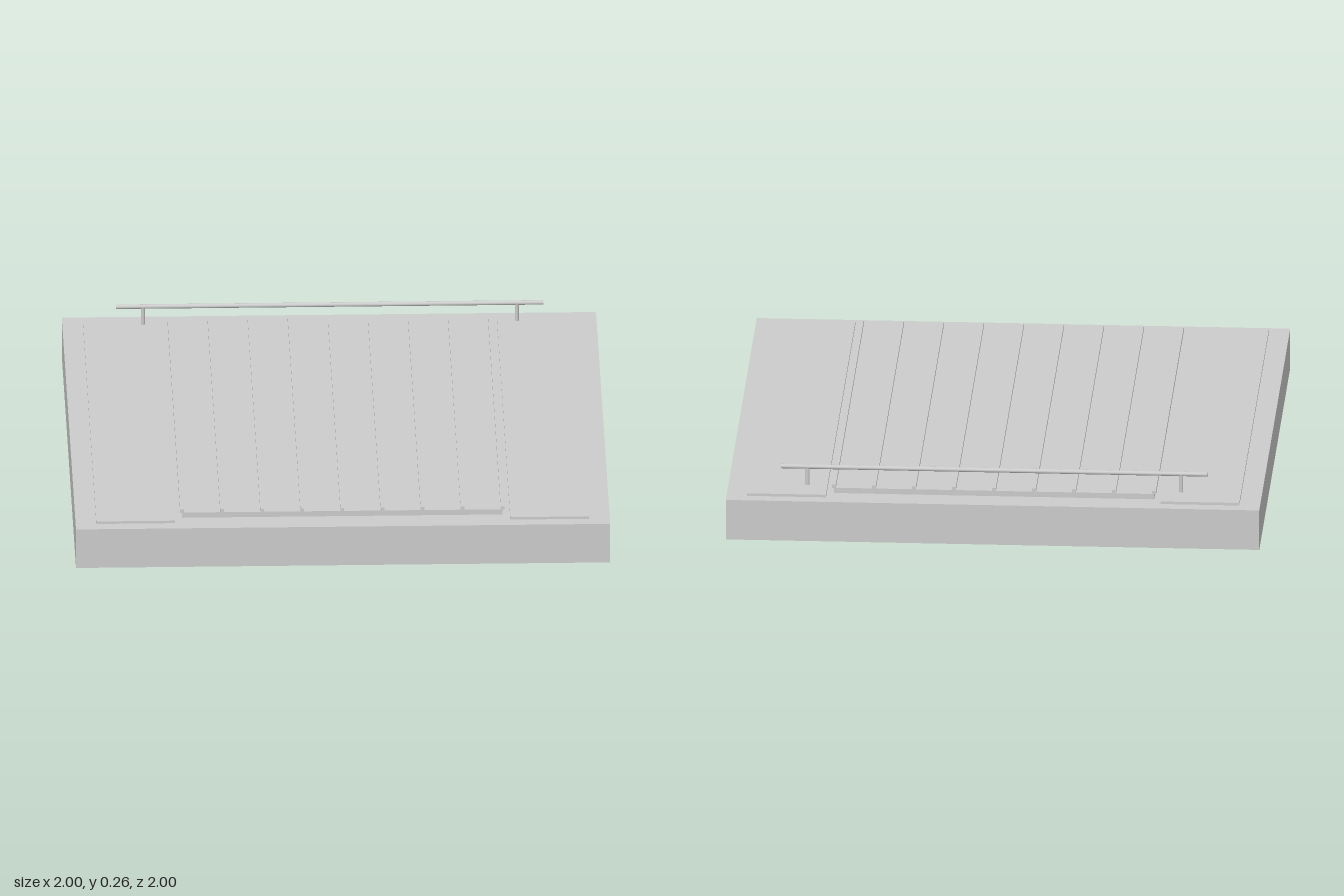
import * as THREE from 'three';

export function createModel() {
  const model = new THREE.Group();
  const material = new THREE.MeshStandardMaterial({ color: 0xcccccc });

  const add = (name, geometry, x, y, z) => {
    const mesh = new THREE.Mesh(geometry, material);
    mesh.name = name;
    mesh.position.set(x, y, z);
    model.add(mesh);
    return mesh;
  };
  // Box given by its bottom and top heights
  const slab = (name, width, depth, bottom, top, x = 0, z = 0) =>
    add(name, new THREE.BoxGeometry(width, top - bottom, depth), x, (bottom + top) / 2, z);

  // Base block and raised centre panel
  slab('base', 2, 2, 0, 0.157);
  slab('centrePanel', 1.2, 1.8, 0.15, 0.178);

  // Raised strips running front to back
  for (let i = -4; i <= 4; i++) {
    slab('strip', 0.014, 1.8, 0.176, 0.19, i * 0.15);
  }

  // Side panels and rail posts, mirrored left and right
  const railZ = -0.877;
  for (const side of [-1, 1]) {
    slab('sidePanel', 0.295, 1.9, 0.15, 0.167, side * 0.775);
    add('railPost', new THREE.CylinderGeometry(0.0075, 0.0075, 0.07, 16), side * 0.7, 0.215, railZ);
  }

  // Rail along the back
  const rail = add('rail', new THREE.CylinderGeometry(0.0085, 0.0085, 1.6, 16), 0, 0.252, railZ);
  rail.rotation.z = Math.PI / 2;

  return model;
}
